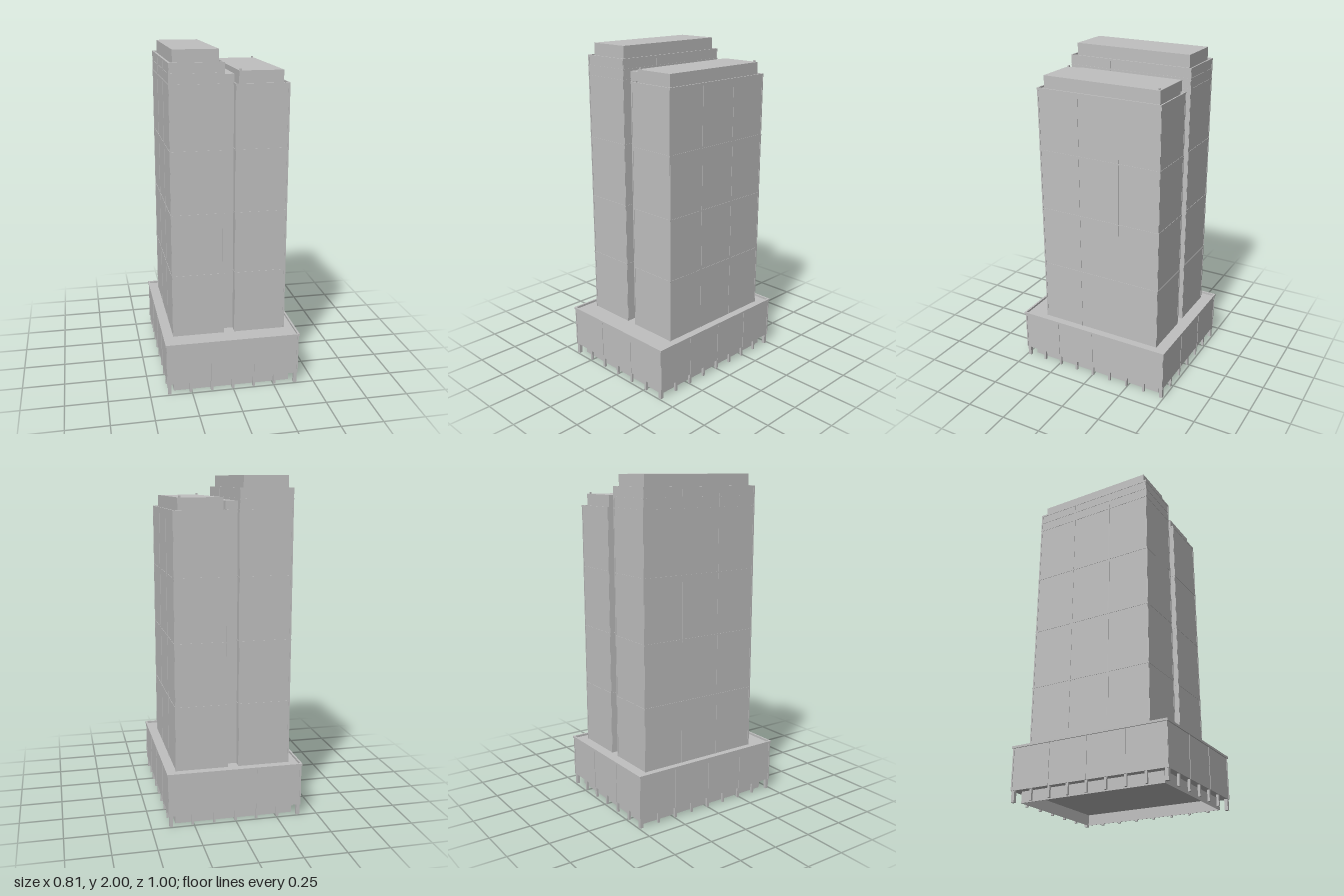
import * as THREE from 'three';

export function createModel() {
  const model = new THREE.Group();
  const concrete = new THREE.MeshStandardMaterial({ color: 0xc0c0c0 });
  concrete.name = 'pale grey concrete';
  const shell = new THREE.MeshStandardMaterial({ color: 0xc0c0c0, side: THREE.DoubleSide });
  shell.name = 'pale grey concrete';
  const material = shell;

  // Box given by its two extents on each axis
  function block(name, x0, x1, y0, y1, z0, z1, parent = model) {
    const mesh = new THREE.Mesh(new THREE.BoxGeometry(x1 - x0, y1 - y0, z1 - z0), material);
    mesh.position.set((x0 + x1) / 2, (y0 + y1) / 2, (z0 + z1) / 2);
    mesh.name = name;
    parent.add(mesh);
    return mesh;
  }

  // Hollow rectangular frame, extruded upward
  function frame(name, x0, x1, y0, y1, z0, z1, t, parent = model) {
    const rect = (path, a, b, c, d) =>
      path.moveTo(a, c).lineTo(b, c).lineTo(b, d).lineTo(a, d).closePath();
    const shape = rect(new THREE.Shape(), x0, x1, -z1, -z0);
    shape.holes.push(rect(new THREE.Path(), x0 + t, x1 - t, -z1 + t, -z0 - t));
    const geo = new THREE.ExtrudeGeometry(shape, { depth: y1 - y0, bevelEnabled: false });
    geo.rotateX(-Math.PI / 2).translate(0, y0, 0);
    const mesh = new THREE.Mesh(geo, material);
    mesh.name = name;
    parent.add(mesh);
  }

  // Recessed ground floor, open underneath
  frame('groundFloorWall', -0.355, 0.355, 0, 0.066, -0.45, 0.45, 0.004);

  // Columns around the ground floor
  const columns = new THREE.Group();
  columns.name = 'columns';
  model.add(columns);
  function column(x, z, w) {
    block('column', x - w / 2, x + w / 2, 0, 0.066, z - w / 2, z + w / 2, columns);
  }
  for (const s of [-1, 1]) {
    for (let i = 0; i <= 6; i++) {
      column(-0.385 + i * 0.77 / 6, s * 0.482, i % 6 ? 0.014 : 0.02);
    }
    for (let i = 1; i < 8; i++) column(s * 0.387, -0.482 + i * 0.964 / 8, 0.014);
  }

  // Podium with parapet and panel joints
  block('podium', -0.398, 0.398, 0.065, 0.312, -0.493, 0.493);
  frame('podiumParapet', -0.405, 0.405, 0.312, 0.325, -0.5, 0.5, 0.011);
  for (const s of [-1, 1]) {
    for (let i = 0; i <= 3; i++) {
      const x = -0.395 + i * 0.79 / 3;
      block('podiumJoint', x - 0.004, x + 0.004, 0.065, 0.312, s * 0.493 - 0.003, s * 0.493 + 0.003);
    }
    for (let i = 0; i <= 4; i++) {
      const z = -0.49 + i * 0.98 / 4;
      block('podiumJoint', s * 0.398 - 0.003, s * 0.398 + 0.003, 0.065, 0.312, z - 0.004, z + 0.004);
    }
  }

  // A tower slab with thin panel joints, parapet and roof storey
  function tower(name, x0, x1, top, bands, roof) {
    const group = new THREE.Group();
    group.name = name;
    model.add(group);
    const z0 = -0.42, z1 = 0.362, e = 0.003;
    block('towerWalls', x0, x1, 0.31, top - 0.01, z0, z1, group);
    frame('towerParapet', x0 - e, x1 + e, top - 0.012, top, z0 - e, z1 + e, 0.008, group);
    for (const y of bands) {
      block('floorJoint', x0 - e, x1 + e, y - 0.004, y + 0.004, z0 - e, z1 + e, group);
    }
    for (let i = 0; i <= 3; i++) {
      const z = z0 + 0.003 + i * (z1 - z0 - 0.006) / 3;
      block('wallJoint', x0 - e, x1 + e, 0.312, top - 0.01, z - 0.004, z + 0.004, group);
    }
    for (const x of [x0 + 0.003, x1 - 0.003]) {
      block('cornerJoint', x - 0.004, x + 0.004, 0.312, top - 0.01, z0 - e, z1 + e, group);
    }
    block('roofStorey', roof[0], roof[1], top - 0.012, top + 0.068, -0.4, 0.335, group);
  }
  const bands = [1, 2, 3].map((i) => 0.32 + i * 0.3725);
  tower('tallTower', -0.341, -0.034, 1.932, [...bands, 1.81, 1.87], [-0.318, -0.058]);
  tower('shortTower', 0.034, 0.341, 1.812, bands, [0.056, 0.314]);

  // Recessed link between the towers
  block('link', -0.036, 0.036, 0.31, 1.86, -0.368, 0.307);

  // Small roof vents
  for (const [x, z] of [[0.3, -0.385], [0.067, 0.322]]) {
    block('roofVent', x - 0.005, x + 0.005, 1.875, 1.89, z - 0.005, z + 0.005);
  }
  return model;
}
